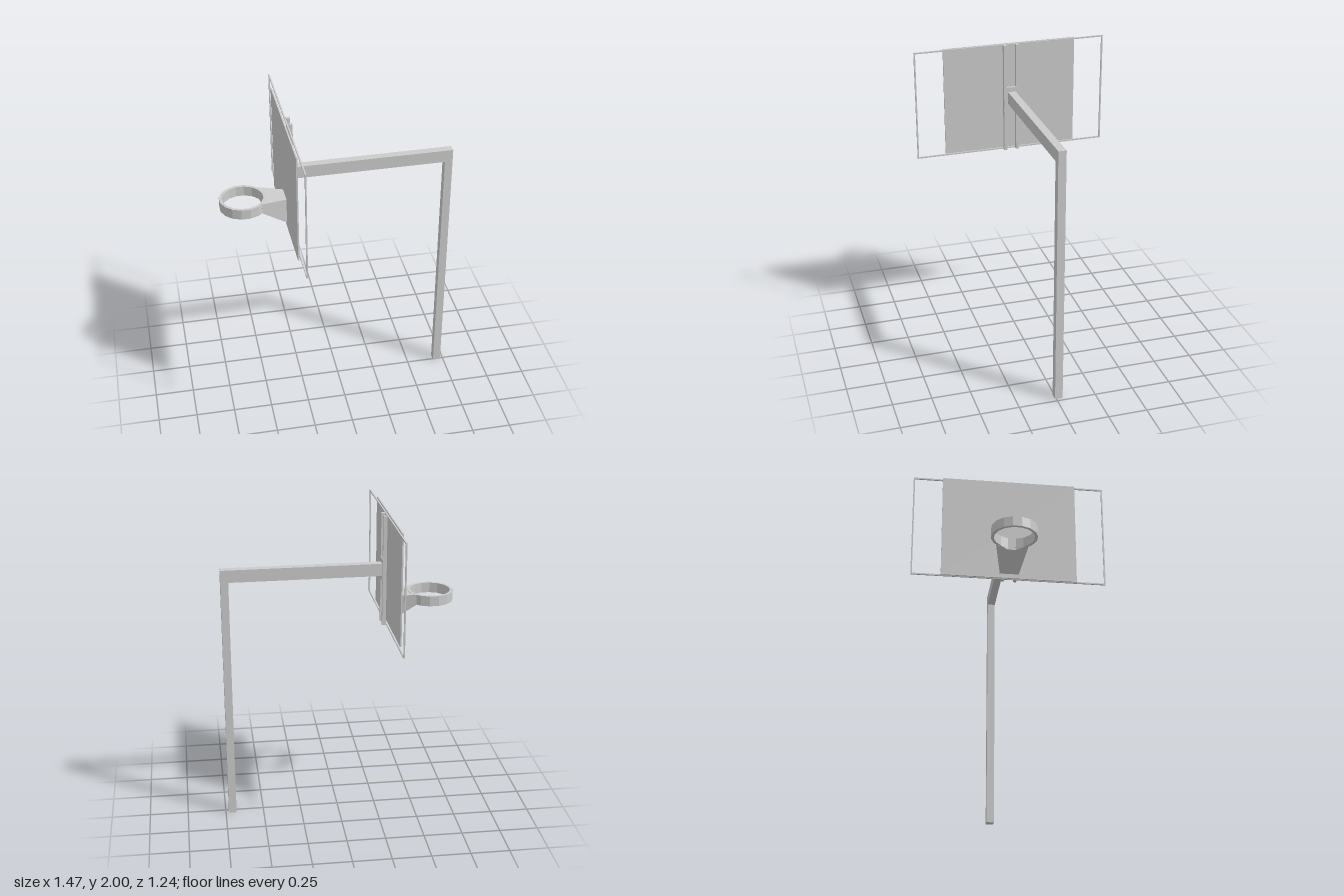
import * as THREE from 'three';

export function createModel() {
  const model = new THREE.Group();
  model.name = 'basketballHoop';
  const body = new THREE.Group();
  body.name = 'hoopAssembly';
  body.rotation.y = 0.0125; // whole hoop stands very slightly turned
  body.position.z = -0.005;
  model.add(body);

  const material = new THREE.MeshStandardMaterial({ color: 0xcccccc, flatShading: true });

  const add = (name, geometry) => {
    const mesh = new THREE.Mesh(geometry, material);
    mesh.name = name;
    body.add(mesh);
    return mesh;
  };
  // Box given by its limits on each axis
  const box = (name, [x0, x1], [y0, y1], [z0, z1]) =>
    add(name, new THREE.BoxGeometry(x1 - x0, y1 - y0, z1 - z0))
      .position.set((x0 + x1) / 2, (y0 + y1) / 2, (z0 + z1) / 2);

  // Post and overhead arm, mitred into one bent beam
  const beam = new THREE.Shape([
    [0.68, 0], [0.73, 0], [0.73, 1.69], [-0.282, 1.69], [-0.282, 1.61], [0.68, 1.61],
  ].map(([x, y]) => new THREE.Vector2(x, y)));
  const beamGeometry = new THREE.ExtrudeGeometry(beam, { depth: 0.05, bevelEnabled: false });
  add('postAndArm', beamGeometry.translate(0, 0, -0.026));

  // Backboard panel
  const low = 1.29, high = 2;
  box('backboard', [-0.333, -0.324], [low, high], [-0.433, 0.433]);

  // Thin outer frame behind the panel
  const rod = 0.009, frameX = [-0.317, -0.308], half = 0.622;
  for (const y of [low, high - rod]) box('frameRail', frameX, [y, y + rod], [-half, half]);
  for (const z of [-half, half - rod]) box('frameSide', frameX, [low + rod, high - rod], [z, z + rod]);

  // Two upright supports and the plate that takes the arm
  for (const z of [-0.05, 0.03]) box('uprightSupport', [-0.306, -0.282], [low, high], [z, z + 0.02]);
  box('mountingPlate', [-0.298, -0.28], [1.58, 1.72], [-0.05, 0.05]);

  // Sixteen-sided rim with a rectangular section
  const cx = -0.595, inner = 0.128, outer = 0.146, top = 1.5, bottom = 1.435, sides = 16;
  const section = [[inner, bottom], [outer, bottom], [outer, top], [inner, top], [inner, bottom]]
    .map(([x, y]) => new THREE.Vector2(x, y));
  add('rim', new THREE.LatheGeometry(section, sides, Math.PI / sides)).position.x = cx;

  // Rim bracket: hollowed to fit the rim, deepening towards the board
  const outline = [[-0.324, -0.058], [-0.324, 0.058], [-0.49, 0.102]];
  for (const k of [1.5, 0.5, -0.5, -1.5]) {
    const a = k * 2 * Math.PI / sides;
    outline.push([cx + (inner + 0.001) * Math.cos(a), (inner + 0.001) * Math.sin(a)]);
  }
  outline.push([-0.49, -0.102]);
  const bracket = new THREE.ExtrudeGeometry(
    new THREE.Shape(outline.map(([x, z]) => new THREE.Vector2(x, z))),
    { depth: 1, bevelEnabled: false },
  ).rotateX(Math.PI / 2);
  const p = bracket.attributes.position;
  for (let i = 0; i < p.count; i++) {
    const t = THREE.MathUtils.clamp((p.getX(i) + 0.49) / 0.166, 0, 1);
    p.setY(i, p.getY(i) > -0.5 ? top - 0.012 * t : bottom - 0.122 * t);
  }
  bracket.computeVertexNormals();
  add('rimBracket', bracket);

  return model;
}
